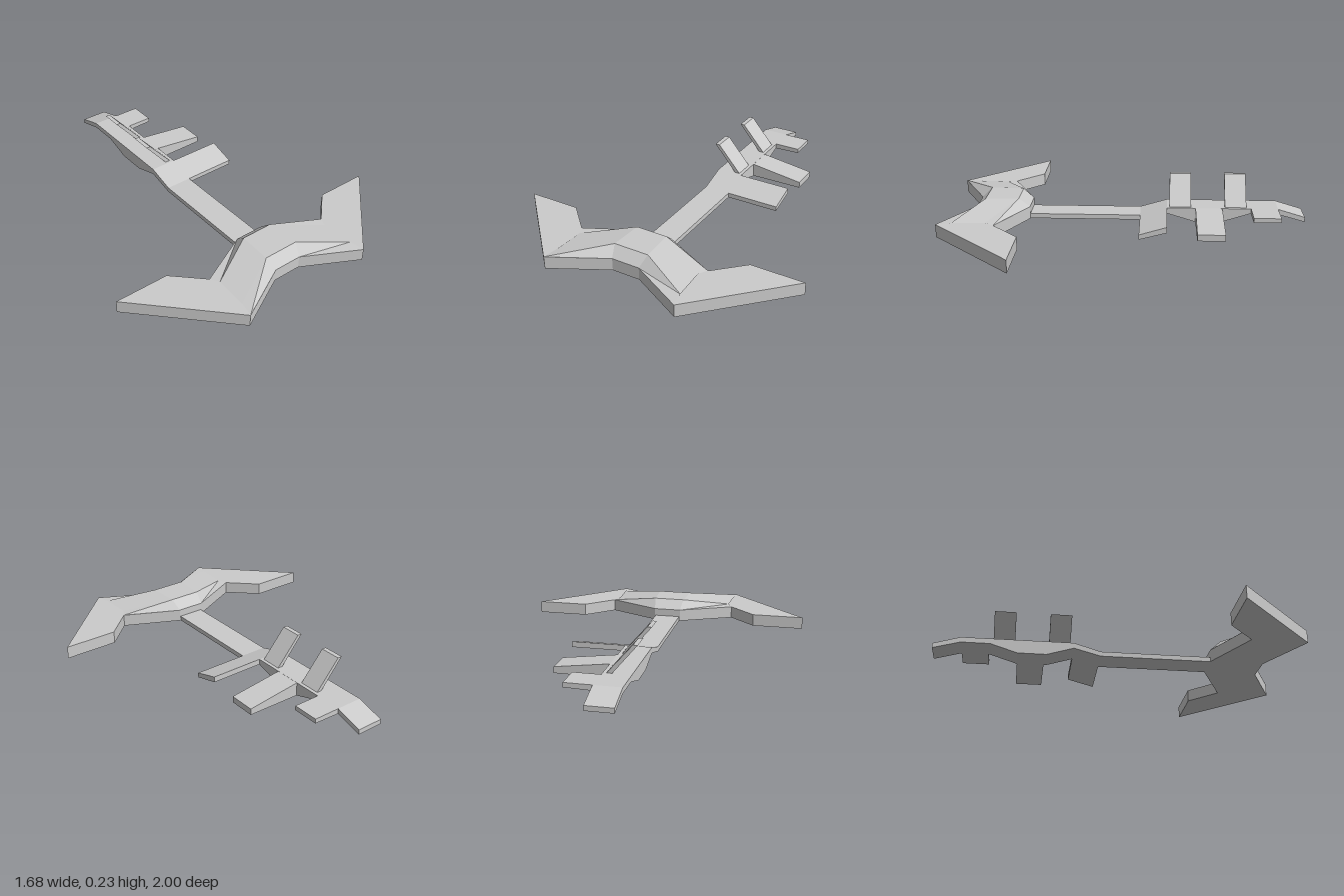
import * as THREE from 'three';

const material = new THREE.MeshStandardMaterial({ color: 0xcccccc, flatShading: true, side: THREE.DoubleSide });

function add(group, name, geometry) {
  const mesh = new THREE.Mesh(geometry, material);
  mesh.name = name;
  group.add(mesh);
  return mesh;
}

const shapeOf = (points) => new THREE.Shape(points.map(([a, b]) => new THREE.Vector2(a, b)));
const extrude = (points, depth) =>
  new THREE.ExtrudeGeometry(shapeOf(points), { depth, bevelEnabled: false });

// Side profile of [z, y] points, swept along x from x0 to x1
function sideProfile(points, x0, x1) {
  return extrude(points.map(([z, y]) => [-z, y]), x1 - x0).rotateY(Math.PI / 2).translate(x0, 0, 0);
}

// Front profile of [x, y] points, swept along z from z0 to z1
const frontProfile = (points, z0, z1) => extrude(points, z1 - z0).translate(0, 0, z0);

// Surface through rows of [x, y, z] points
function loft(rows) {
  const n = rows[0].length;
  const index = [];
  for (let r = 0; r < rows.length - 1; r++) {
    for (let i = 0; i < n - 1; i++) {
      const a = r * n + i, b = a + n;
      index.push(a, a + 1, b, b, a + 1, b + 1);
    }
  }
  const geometry = new THREE.BufferGeometry();
  geometry.setAttribute('position', new THREE.Float32BufferAttribute(rows.flat(2), 3));
  geometry.setIndex(index);
  geometry.computeVertexNormals();
  return geometry;
}

export function createModel() {
  const group = new THREE.Group();
  group.name = 'key';

  // Winged handle, mirrored outline in plan
  const half = [[0.08, 0.84], [0.385, 1], [0.84, 0.54], [0.54, 0.54], [0.385, 0.69], [0.08, 0.54]];
  const outline = [...half, ...half.map(([x, z]) => [-x, z]).reverse()];
  add(group, 'handle', extrude(outline.map(([x, z]) => [x, -z]), 0.07)
    .rotateX(-Math.PI / 2).translate(0, 0.008, 0));

  // Raised crown over the middle of the handle
  const outer = (s) => [[s * 0.385, 0.079, 0.69], [s * 0.36, 0.082, 0.74], [s * 0.37, 0.082, 0.92], [s * 0.385, 0.079, 1]];
  const inner = (s) => [[s * 0.08, 0.078, 0.54], [s * 0.09, 0.13, 0.6], [s * 0.1, 0.13, 0.785], [s * 0.08, 0.078, 0.84]];
  add(group, 'handleCrown', loft([outer(-1), inner(-1), inner(1), outer(1)]));

  // Shaft with a stepped underside and a sloping end
  add(group, 'shaft', sideProfile([
    [0.56, 0.008], [-0.08, 0.008], [-0.23, 0.048], [-0.38, 0.002], [-0.54, 0.002],
    [-0.69, 0.05], [-0.85, 0.05], [-1, 0.008], [-1, 0.035], [-0.85, 0.08],
    [-0.23, 0.08], [-0.08, 0.035], [0.56, 0.035],
  ], -0.075, 0.075));

  // Teeth along the left side
  add(group, 'rampTooth', sideProfile(
    [[-0.08, 0.008], [-0.23, 0.048], [-0.23, 0.08], [-0.08, 0.035]], 0.07, 0.38));
  add(group, 'middleTooth', frontProfile(
    [[0.07, 0.002], [0.38, 0.005], [0.38, 0.04], [0.07, 0.08]], -0.54, -0.39));
  add(group, 'endTooth', frontProfile(
    [[0.07, 0.05], [0.225, 0.055], [0.225, 0.08], [0.07, 0.08]], -0.85, -0.7));

  // Leaning blades on top of the shaft
  const blade = [[0.03, 0.075], [0.06, 0.075], [-0.08, 0.235], [-0.105, 0.235]];
  for (const z of [-0.365, -0.675]) add(group, 'blade', frontProfile(blade, z, z + 0.12));

  return group;
}
